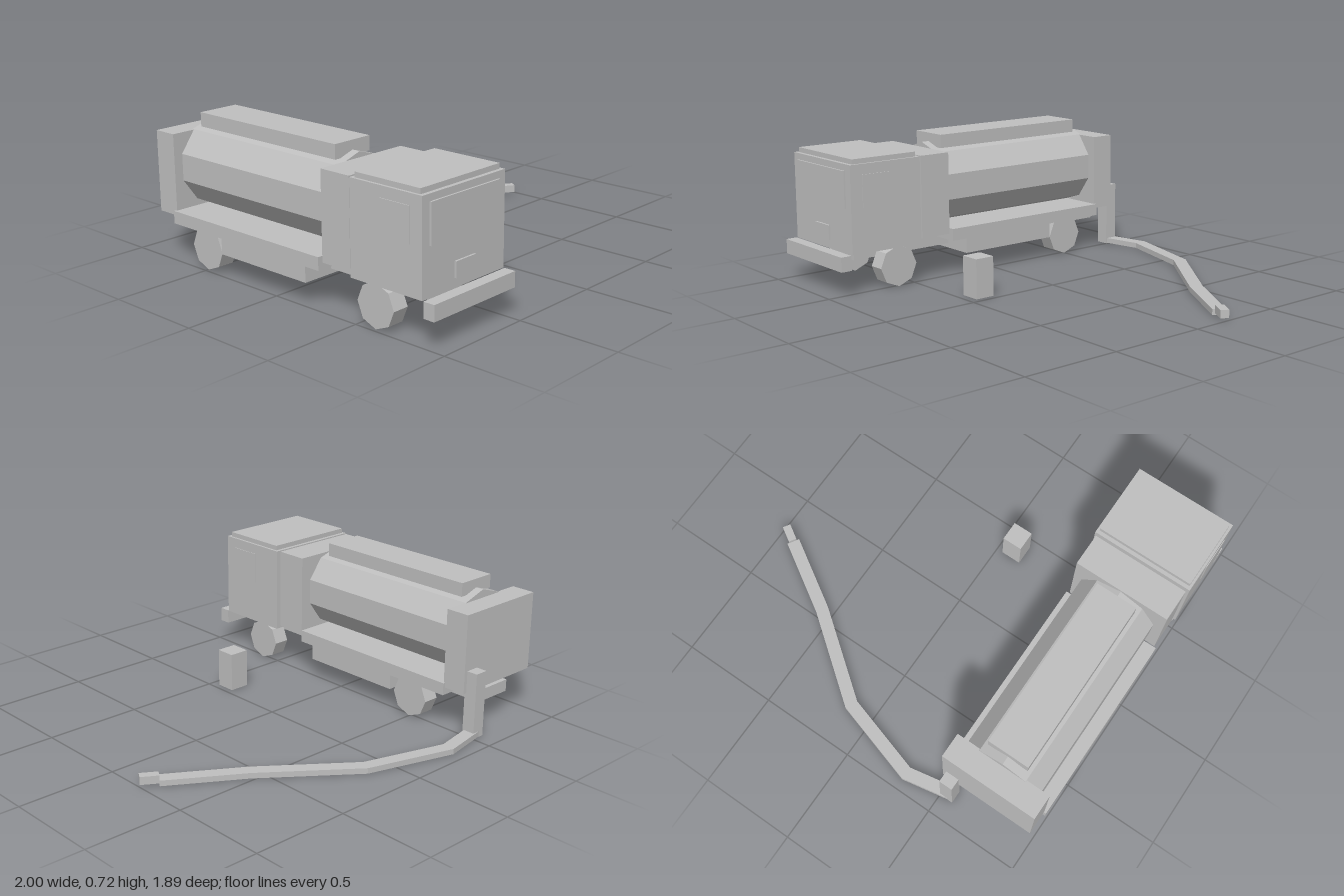
import * as THREE from 'three';

export function createModel() {
  const model = new THREE.Group();
  const truck = new THREE.Group();
  truck.name = 'truck';
  truck.position.x = -0.733;
  model.add(truck);

  const grey = new THREE.MeshStandardMaterial({ color: 0xbfbfbf, flatShading: true });
  grey.name = 'plain grey';

  const add = (parent, name, geometry) => {
    const mesh = new THREE.Mesh(geometry, grey);
    mesh.name = name;
    parent.add(mesh);
    return mesh;
  };
  // Box given by its limits on each axis
  const box = (parent, name, x0, x1, y0, y1, z0, z1) => {
    const mesh = add(parent, name, new THREE.BoxGeometry(x1 - x0, y1 - y0, z1 - z0));
    mesh.position.set((x0 + x1) / 2, (y0 + y1) / 2, (z0 + z1) / 2);
    return mesh;
  };
  // Box centred across the truck
  const wide = (name, half, y0, y1, z0, z1) => box(truck, name, -half, half, y0, y1, z0, z1);

  // Chassis
  wide('chassisFrame', 0.107, 0.135, 0.197, -0.823, 0.775);
  wide('lowerTank', 0.264, 0.11, 0.19, -0.376, 0.19);
  wide('deck', 0.265, 0.187, 0.25, -0.725, 0.275);
  wide('bumper', 0.265, 0.13, 0.205, 0.885, 0.944);

  // Cab and crew compartment
  wide('cab', 0.265, 0.205, 0.65, 0.473, 0.879);
  wide('cabRoof', 0.252, 0.65, 0.675, 0.492, 0.859);
  wide('windshield', 0.22, 0.43, 0.617, 0.879, 0.888);
  wide('frontPlate', 0.064, 0.25, 0.324, 0.879, 0.889);
  wide('crewCompartment', 0.252, 0.225, 0.65, 0.288, 0.458);

  // Tank with walkway, pump housing behind
  const tank = add(truck, 'tank', new THREE.CylinderGeometry(0.215, 0.215, 1, 10).rotateX(Math.PI / 2));
  tank.position.set(0, 0.458, -0.225);
  wide('tankWalkway', 0.108, 0.648, 0.718, -0.682, 0.232);
  wide('pumpHousing', 0.252, 0.225, 0.63, -0.842, -0.716);

  // Side windows and wheels
  for (const side of [-1, 1]) {
    const window = box(truck, 'sideWindow', -0.0025, 0.0025, 0.432, 0.597, 0.643, 0.812);
    window.position.x = side * 0.2665;
    for (const z of [0.602, -0.497]) {
      const wheel = add(truck, 'wheel', new THREE.CylinderGeometry(0.106, 0.106, 0.085, 8).rotateZ(Math.PI / 2));
      wheel.position.set(side * 0.207, 0.106, z);
    }
  }

  // Hose standpipe and the loose box beside the truck
  box(model, 'hosePost', -0.572, -0.501, 0, 0.34, -0.9, -0.832);
  box(model, 'looseBox', -0.14, -0.034, 0, 0.2, 0.352, 0.456);

  // Flat hose with mitred bends, drawn in (x, z)
  const path = [[-0.54, -0.867], [-0.302, -0.912], [0.131, -0.783], [0.559, -0.457], [0.912, -0.238]]
    .map(([x, z]) => new THREE.Vector2(x, z));
  const half = 0.033;
  const normals = path.slice(1).map((p, i) => {
    const d = p.clone().sub(path[i]).normalize();
    return new THREE.Vector2(-d.y, d.x);
  });
  const edge = (sign) => path.map((p, i) => {
    const a = normals[Math.max(i - 1, 0)], b = normals[Math.min(i, normals.length - 1)];
    const mitre = a.clone().add(b).normalize();
    return p.clone().addScaledVector(mitre, sign * half / mitre.dot(a));
  });
  const outline = new THREE.Shape([...edge(-1), ...edge(1).reverse()]);
  const hose = add(model, 'hose',
    new THREE.ExtrudeGeometry(outline, { depth: 0.028, bevelEnabled: false }).rotateX(Math.PI / 2));
  hose.position.y = 0.03;

  // Nozzle in line with the last hose length
  const nozzle = add(model, 'nozzle', new THREE.BoxGeometry(0.09, 0.04, 0.042));
  nozzle.position.set(0.95, 0.031, -0.216);
  nozzle.rotation.y = -Math.atan2(0.219, 0.353);

  return model;
}
